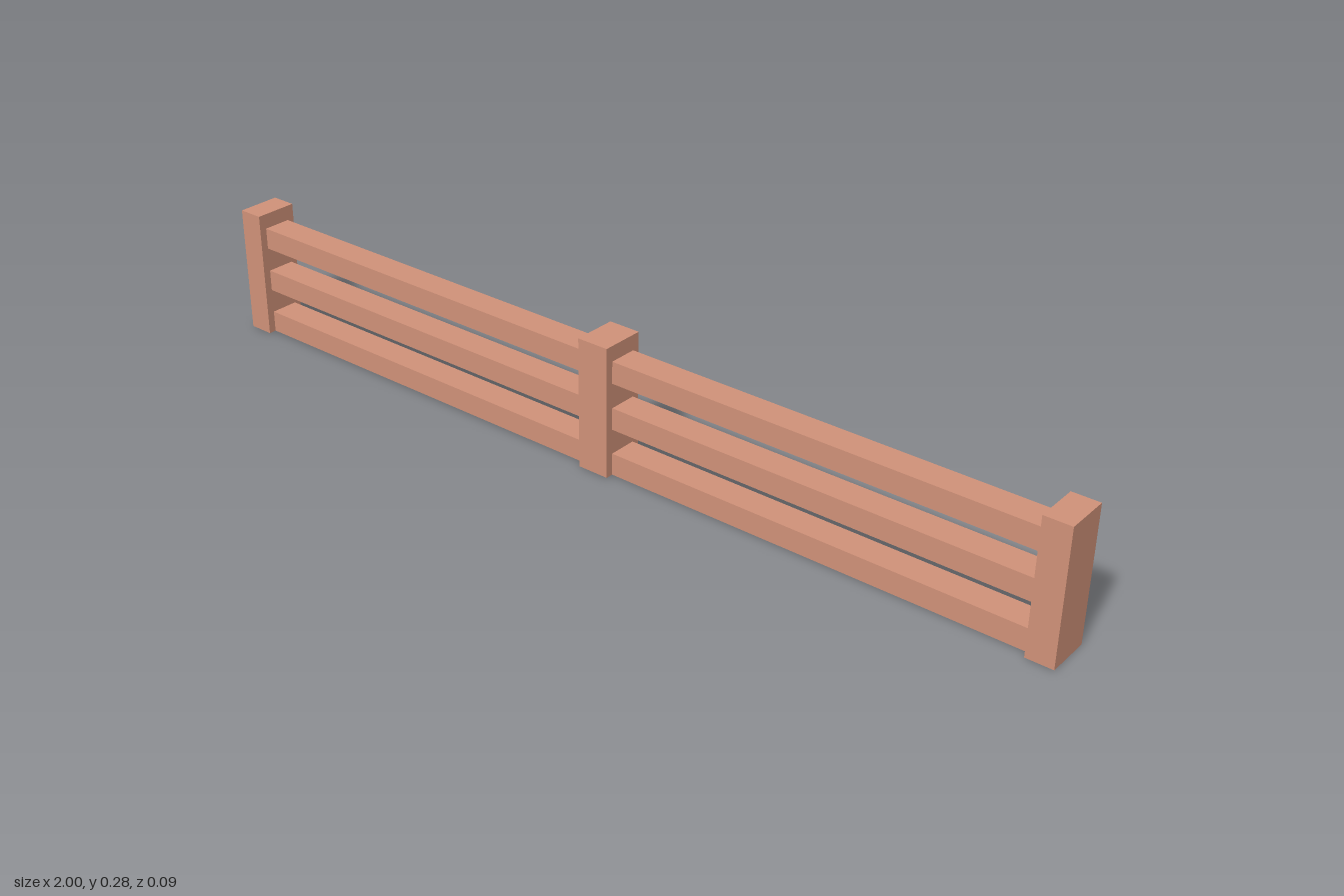
import * as THREE from 'three';

export function createModel() {
  const model = new THREE.Group();
  model.name = 'fence';
  const wood = new THREE.MeshStandardMaterial({ color: 0xd19279, flatShading: true });

  // Box standing on height y
  function addBox(name, width, height, depth, x, y) {
    const mesh = new THREE.Mesh(new THREE.BoxGeometry(width, height, depth), wood);
    mesh.name = name;
    mesh.position.set(x, y + height / 2, 0);
    model.add(mesh);
  }

  const postHeight = 0.28, postDepth = 0.095;
  const endWidth = 0.056, middleWidth = 0.07;
  const railHeight = 0.047, railDepth = 0.062, railSpacing = 0.1;

  // Posts
  addBox('middlePost', middleWidth, postHeight, postDepth, 0, 0);
  for (const [side, sign] of [['left', 1], ['right', -1]]) {
    addBox(side + 'EndPost', endWidth, postHeight, postDepth, sign * (1 - endWidth / 2), 0);

    // Three rails between the middle post and the end post
    const inner = middleWidth / 2, outer = 1 - endWidth;
    ['Bottom', 'Middle', 'Top'].forEach((level, i) => {
      addBox(side + level + 'Rail', outer - inner, railHeight, railDepth,
        sign * (inner + outer) / 2, i * railSpacing);
    });
  }
  return model;
}
